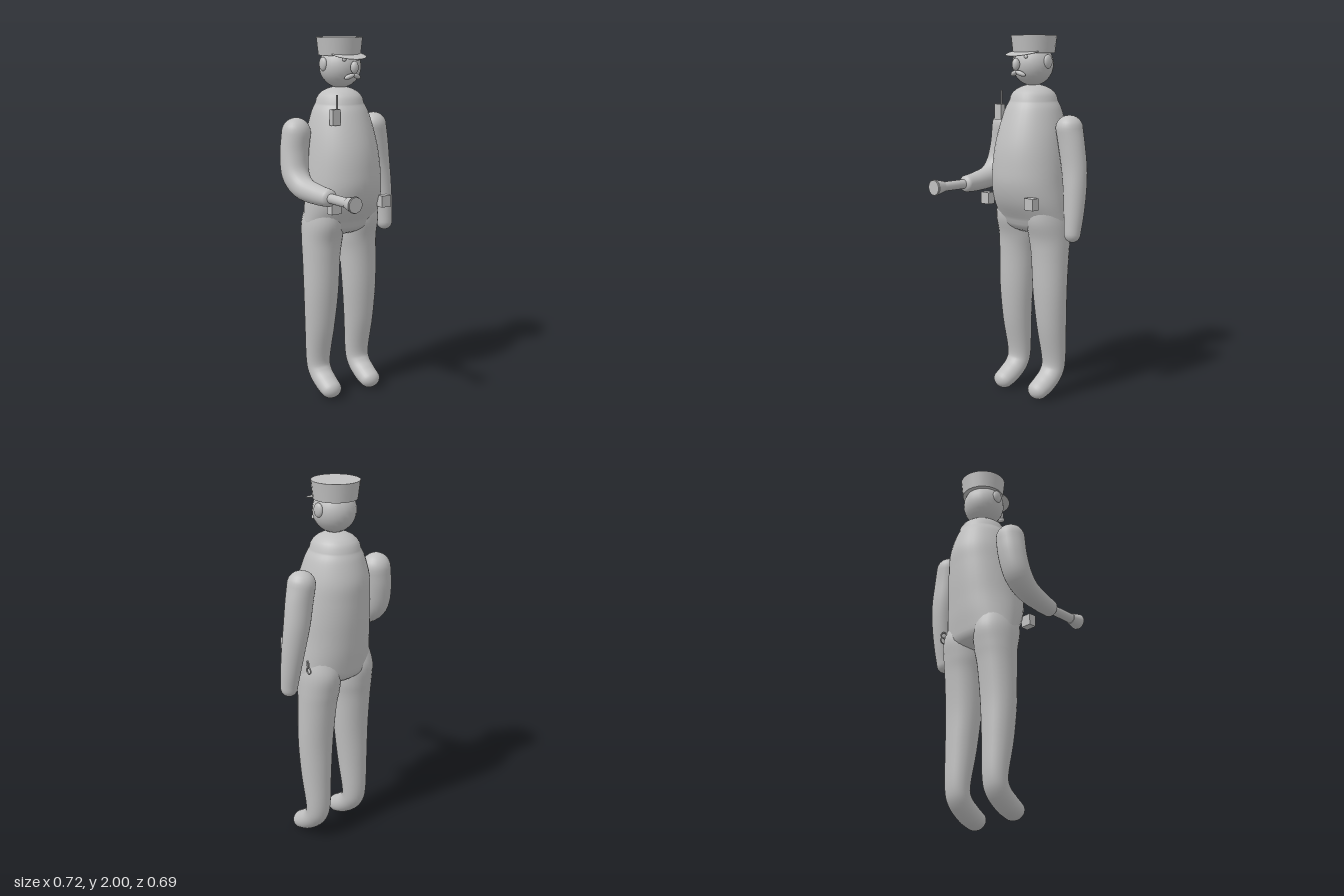
import * as THREE from 'three';

const grey = new THREE.MeshStandardMaterial({ color: 0xc0c0c0 });
grey.name = 'plain grey';

// Smooth loft through elliptical rings [x, y, z, rx, rz, tilt], listed top to bottom, with domed ends
function loft(rings, topCap, endCap, sides = 28, steps = 5) {
  const V = THREE.Vector3;
  const centres = new THREE.CatmullRomCurve3(rings.map(r => new V(r[0], r[1], r[2])), false, 'catmullrom', 0.5);
  const sizes = new THREE.CatmullRomCurve3(rings.map(r => new V(r[3], r[4], r[5] || 0)), false, 'catmullrom', 0.5);
  const n = (rings.length - 1) * steps, capSteps = 6, pos = [], index = [];
  const addRing = (t, scale, offset) => {
    const c = centres.getPoint(t), s = sizes.getPoint(t);
    const cos = Math.cos(s.z), sin = Math.sin(s.z);
    for (let i = 0; i < sides; i++) {
      const a = (i / sides) * Math.PI * 2, z = s.y * scale * Math.sin(a);
      pos.push(c.x + s.x * scale * Math.cos(a), c.y - offset * cos - z * sin, c.z - offset * sin + z * cos);
    }
  };
  for (let k = capSteps; k > 0; k--) {
    const a = (k / capSteps) * Math.PI / 2;
    addRing(0, Math.cos(a), -topCap * Math.sin(a));
  }
  for (let k = 0; k <= n; k++) addRing(k / n, 1, 0);
  for (let k = 1; k <= capSteps; k++) {
    const a = (k / capSteps) * Math.PI / 2;
    addRing(1, Math.cos(a), endCap * Math.sin(a));
  }
  const count = pos.length / 3 / sides;
  for (let j = 0; j < count - 1; j++) {
    for (let i = 0; i < sides; i++) {
      const a = j * sides + i, b = j * sides + (i + 1) % sides;
      index.push(a, b, a + sides, b, b + sides, a + sides);
    }
  }
  const g = new THREE.BufferGeometry();
  g.setAttribute('position', new THREE.Float32BufferAttribute(pos, 3));
  g.setIndex(index);
  g.computeVertexNormals();
  return g;
}

export function createModel() {
  const model = new THREE.Group();
  const add = (name, geometry, x = 0, y = 0, z = 0) => {
    const mesh = new THREE.Mesh(geometry, grey);
    mesh.name = name;
    mesh.position.set(x, y, z);
    model.add(mesh);
    return mesh;
  };
  const ellipsoid = (name, x, y, z, rx, ry, rz) => {
    const mesh = add(name, new THREE.SphereGeometry(1, 24, 16), x, y, z);
    mesh.scale.set(rx, ry, rz);
    return mesh;
  };

  // Torso with a round belly
  add('torso', loft([
    [0, 1.65, -0.16, 0.13, 0.135],
    [0, 1.6, -0.158, 0.155, 0.158],
    [0, 1.5, -0.153, 0.182, 0.188],
    [0, 1.4, -0.14, 0.198, 0.2],
    [0, 1.3, -0.132, 0.209, 0.203],
    [0, 1.2, -0.128, 0.217, 0.198],
    [0, 1.1, -0.138, 0.225, 0.178],
    [0, 1.0, -0.16, 0.227, 0.14],
  ], 0.088, 0.08, 36));

  // Legs ending in rounded feet
  for (const s of [1, -1]) {
    add(s > 0 ? 'leftLeg' : 'rightLeg', loft([
      [s * 0.11, 1.1, -0.145, 0.1, 0.12],
      [s * 0.115, 1.0, -0.16, 0.113, 0.135],
      [s * 0.118, 0.9, -0.168, 0.114, 0.115],
      [s * 0.125, 0.8, -0.165, 0.107, 0.102],
      [s * 0.131, 0.6, -0.16, 0.1, 0.09],
      [s * 0.135, 0.4, -0.17, 0.086, 0.08],
      [s * 0.136, 0.2, -0.188, 0.071, 0.062, -0.1],
      [s * 0.136, 0.125, -0.165, 0.067, 0.06, -0.5],
      [s * 0.136, 0.075, -0.105, 0.064, 0.058, -0.95],
      [s * 0.136, 0.052, -0.06, 0.061, 0.052, -1.15],
    ], 0.05, 0.05));
  }

  // Left arm hanging down, right arm bent forward
  add('leftArm', loft([
    [0.246, 1.51, -0.18, 0.074, 0.074],
    [0.262, 1.42, -0.182, 0.076, 0.068],
    [0.28, 1.3, -0.184, 0.073, 0.065],
    [0.294, 1.18, -0.175, 0.064, 0.062],
    [0.302, 1.05, -0.16, 0.054, 0.054],
    [0.304, 0.95, -0.147, 0.046, 0.045],
  ], 0.07, 0.048));
  add('rightArm', loft([
    [-0.258, 1.5, -0.2, 0.08, 0.078],
    [-0.272, 1.39, -0.198, 0.08, 0.075, -0.1],
    [-0.284, 1.28, -0.17, 0.075, 0.073, -0.5],
    [-0.283, 1.215, -0.095, 0.064, 0.064, -1.1],
    [-0.27, 1.195, 0.02, 0.054, 0.054, -1.45],
    [-0.26, 1.19, 0.105, 0.048, 0.047, -1.57],
  ], 0.08, 0.027));

  // Head and face
  ellipsoid('head', 0, 1.845, -0.153, 0.114, 0.116, 0.114);
  ellipsoid('nose', 0, 1.845, -0.022, 0.022, 0.033, 0.021);
  for (const s of [1, -1]) {
    ellipsoid('ear', s * 0.111, 1.86, -0.155, 0.016, 0.037, 0.03);
    ellipsoid('eye', s * 0.042, 1.885, -0.056, 0.012, 0.009, 0.008);
    const brow = ellipsoid('eyebrow', s * 0.045, 1.902, -0.058, 0.03, 0.006, 0.01);
    brow.rotation.z = s * 0.2;
    const whisker = ellipsoid('moustacheHalf', s * 0.024, 1.797, -0.034, 0.031, 0.013, 0.015);
    whisker.rotation.set(0, s * 0.3, -s * 0.35);
  }

  // Flared cap with a sloping visor
  add('cap', new THREE.CylinderGeometry(0.126, 0.115, 0.095, 22), 0, 1.9525, -0.16);
  const visor = ellipsoid('visor', 0, 1.908, -0.075, 0.1, 0.008, 0.09);
  visor.rotation.x = 0.22;

  // Chest radio with aerial
  add('radio', new THREE.BoxGeometry(0.05, 0.085, 0.03), -0.126, 1.588, -0.024);
  add('radioAerial', new THREE.CylinderGeometry(0.005, 0.005, 0.08, 10), -0.113, 1.665, -0.024);

  // Belt pouches
  add('rightPouch', new THREE.BoxGeometry(0.062, 0.064, 0.045), -0.171, 1.113, 0.027);
  add('leftPouch', new THREE.BoxGeometry(0.062, 0.064, 0.045), 0.166, 1.113, 0.027);

  // Pair of linked cuffs on the hip
  for (const k of [0, 1]) {
    const cuff = add('cuff', new THREE.TorusGeometry(0.017, 0.004, 8, 18), 0.236, 1.083 - k * 0.034, -0.218 - k * 0.006);
    cuff.rotation.y = 1.1 + k * 0.4;
  }

  // Torch held in the right hand, pointing forward
  const torch = [
    ['torchHandle', 0.026, 0.026, 0.08, 0.275],
    ['torchHead', 0.044, 0.03, 0.275, 0.335],
    ['torchRim', 0.041, 0.041, 0.335, 0.343],
  ];
  for (const [name, front, back, z0, z1] of torch) {
    add(name, new THREE.CylinderGeometry(front, back, z1 - z0, 22), -0.26, 1.19, (z0 + z1) / 2).rotation.x = Math.PI / 2;
  }

  return model;
}
